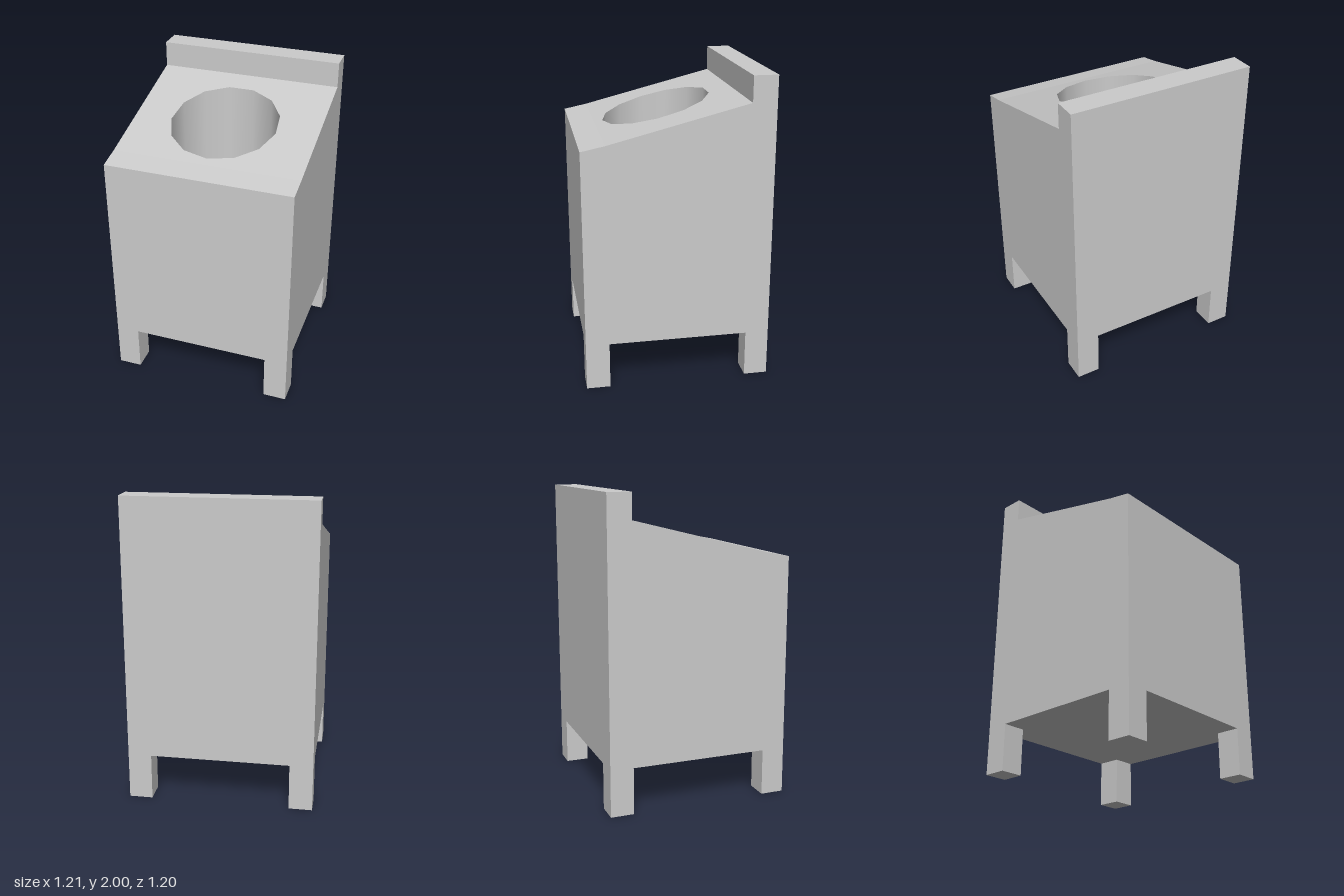
import * as THREE from 'three';

const W = 0.605, D = 0.6;            // half width and half depth
const UNDER = 0.305, LEG = 0.152;    // underside height, leg thickness
const BACK = -0.445, LIP = 0.45;     // front of the back board, start of the front lip
const FRONT_Y = 1.58, LIP_Y = 1.61, BACK_Y = 1.835, TOP = 2;
const SIDES = 13, R = 0.352, CX = -0.01, CZ = 0.043, WELL_Y = 0.45;

// height of the sloping deck at depth z
const deckY = (z) => z > LIP
  ? THREE.MathUtils.mapLinear(z, LIP, D, LIP_Y, FRONT_Y)
  : THREE.MathUtils.mapLinear(z, BACK, LIP, BACK_Y, LIP_Y);

// lift flat vertices onto the deck, if the test accepts them
function drape(geometry, test = () => true) {
  const p = geometry.attributes.position;
  for (let i = 0; i < p.count; i++) if (test(p.getY(i))) p.setY(i, deckY(p.getZ(i)));
  return geometry;
}

const outline = (points) => new THREE.Shape(points.map(([x, y]) => new THREE.Vector2(x, y)));

export function createModel() {
  const group = new THREE.Group();
  const material = new THREE.MeshStandardMaterial({ color: 0xcccccc, side: THREE.DoubleSide });
  const add = (name, geometry, x = 0, y = 0, z = 0) => {
    const mesh = new THREE.Mesh(geometry, material);
    mesh.name = name;
    mesh.position.set(x, y, z);
    group.add(mesh);
    return mesh;
  };

  // side panels, drawn with z running left to right
  const side = outline([[-D, UNDER], [D, UNDER], [D, FRONT_Y], [LIP, LIP_Y],
    [BACK, BACK_Y], [BACK, TOP], [-D, TOP]]);
  for (const s of [-1, 1]) {
    const g = new THREE.ShapeGeometry(side).rotateY(-Math.PI / 2);
    if (s > 0) g.scale(-1, 1, 1).index.array.reverse();
    if (s > 0) g.computeVertexNormals();
    add(s < 0 ? 'rightPanel' : 'leftPanel', g, s * W);
  }

  // front and back panels, underside
  add('frontPanel', new THREE.PlaneGeometry(2 * W, FRONT_Y - UNDER), 0, (FRONT_Y + UNDER) / 2, D);
  add('backPanel', new THREE.PlaneGeometry(2 * W, TOP - UNDER).rotateY(Math.PI),
    0, (TOP + UNDER) / 2, -D);
  add('underside', new THREE.PlaneGeometry(2 * W, 2 * D).rotateX(Math.PI / 2), 0, UNDER, 0);

  // raised back board: its front and its top
  add('backBoardFront', new THREE.PlaneGeometry(2 * W, TOP - BACK_Y), 0, (TOP + BACK_Y) / 2, BACK);
  add('backBoardTop', new THREE.PlaneGeometry(2 * W, D + BACK).rotateX(-Math.PI / 2),
    0, TOP, (BACK - D) / 2);

  // sloping deck with the round opening, and the flatter lip in front of it
  const deck = outline([[-W, -LIP], [W, -LIP], [W, -BACK], [-W, -BACK]]);
  const ring = [];
  for (let i = 0; i < SIDES; i++) {
    const a = (i / SIDES) * Math.PI * 2;
    ring.push(new THREE.Vector2(CX + R * Math.sin(a), -CZ - R * Math.cos(a)));
  }
  deck.holes.push(new THREE.Path(ring));
  const deckGeometry = drape(new THREE.ShapeGeometry(deck).rotateX(-Math.PI / 2));
  deckGeometry.computeVertexNormals();
  add('deck', deckGeometry);
  const lip = new THREE.PlaneGeometry(2 * W, D - LIP).rotateX(-Math.PI / 2)
    .translate(0, 0, (D + LIP) / 2);
  drape(lip).computeVertexNormals();
  add('deckLip', lip);

  // deep well below the opening
  const wall = new THREE.CylinderGeometry(R, R, 1, SIDES, 1, true)
    .translate(CX, WELL_Y + 0.5, CZ);
  add('wellWall', drape(wall, (y) => y > WELL_Y + 0.5));
  add('wellFloor', new THREE.CircleGeometry(R, SIDES, -Math.PI / 2).rotateX(-Math.PI / 2),
    CX, WELL_Y, CZ);

  // four square legs
  for (const sx of [-1, 1]) for (const sz of [-1, 1]) {
    add('leg', new THREE.BoxGeometry(LEG, UNDER, LEG),
      sx * (W - LEG / 2), UNDER / 2, sz * (D - LEG / 2));
  }
  return group;
}
